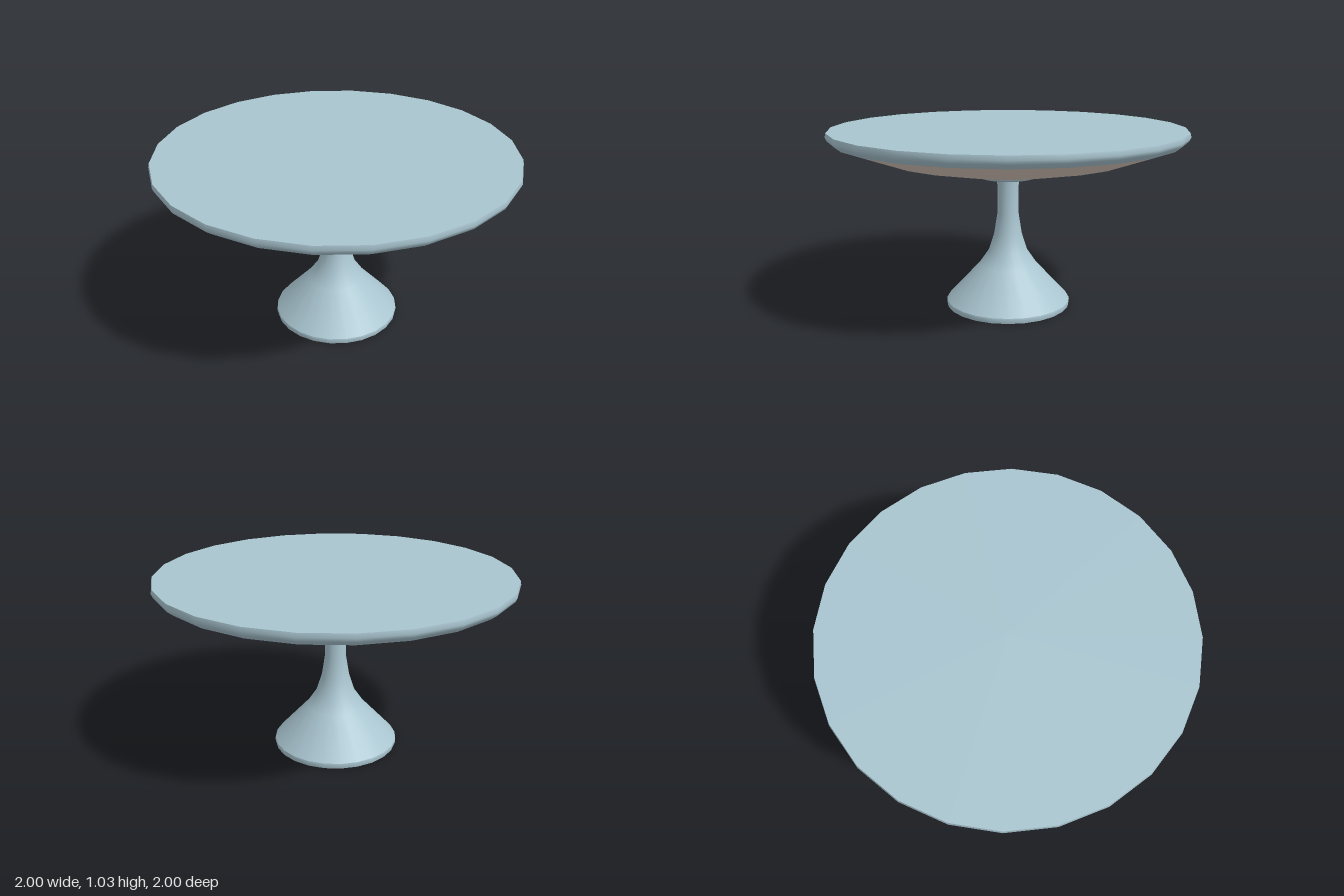
import * as THREE from 'three';

const SIDES = 24;

export function createModel() {
  const model = new THREE.Group();
  const blue = new THREE.MeshStandardMaterial({ color: 0xa9c5d0 });
  blue.name = 'pale blue';
  const beige = new THREE.MeshStandardMaterial({ color: 0xdccbc0 });
  beige.name = 'warm beige';

  // Turned surface from [radius, height] points, listed bottom to top on the outside
  function turned(name, points, material) {
    const profile = points.map(([r, y]) => new THREE.Vector2(r, y));
    const mesh = new THREE.Mesh(new THREE.LatheGeometry(profile, SIDES), material);
    mesh.name = name;
    model.add(mesh);
  }

  // Pedestal: flat sole, short foot edge, flared cone and slim neck
  turned('footSole', [[0, 0], [0.357, 0]], blue);
  turned('footEdge', [[0.357, 0], [0.361, 0.018], [0.358, 0.03]], blue);
  turned('stem', [
    [0.358, 0.03], [0.17, 0.235], [0.112, 0.32], [0.08, 0.42],
    [0.061, 0.54], [0.061, 0.7], [0.064, 0.76],
  ], blue);

  // Collar joining the stem to the plate
  turned('collarUnderside', [[0, 0.75], [0.155, 0.75]], blue);
  turned('collarEdge', [[0.155, 0.75], [0.175, 0.758], [0.181, 0.772], [0.181, 0.8]], blue);

  // Plate: shallow dish below, rounded rim, flat top
  turned('plateUnderside', [
    [0, 0.785], [0.25, 0.788], [0.41, 0.811], [0.7, 0.872], [0.962, 0.966],
  ], beige);
  turned('plateRim', [[0.962, 0.966], [0.992, 0.99], [1, 1.01], [0.995, 1.032]], blue);
  turned('plateTop', [[0.995, 1.032], [0, 1.032]], blue);

  return model;
}
